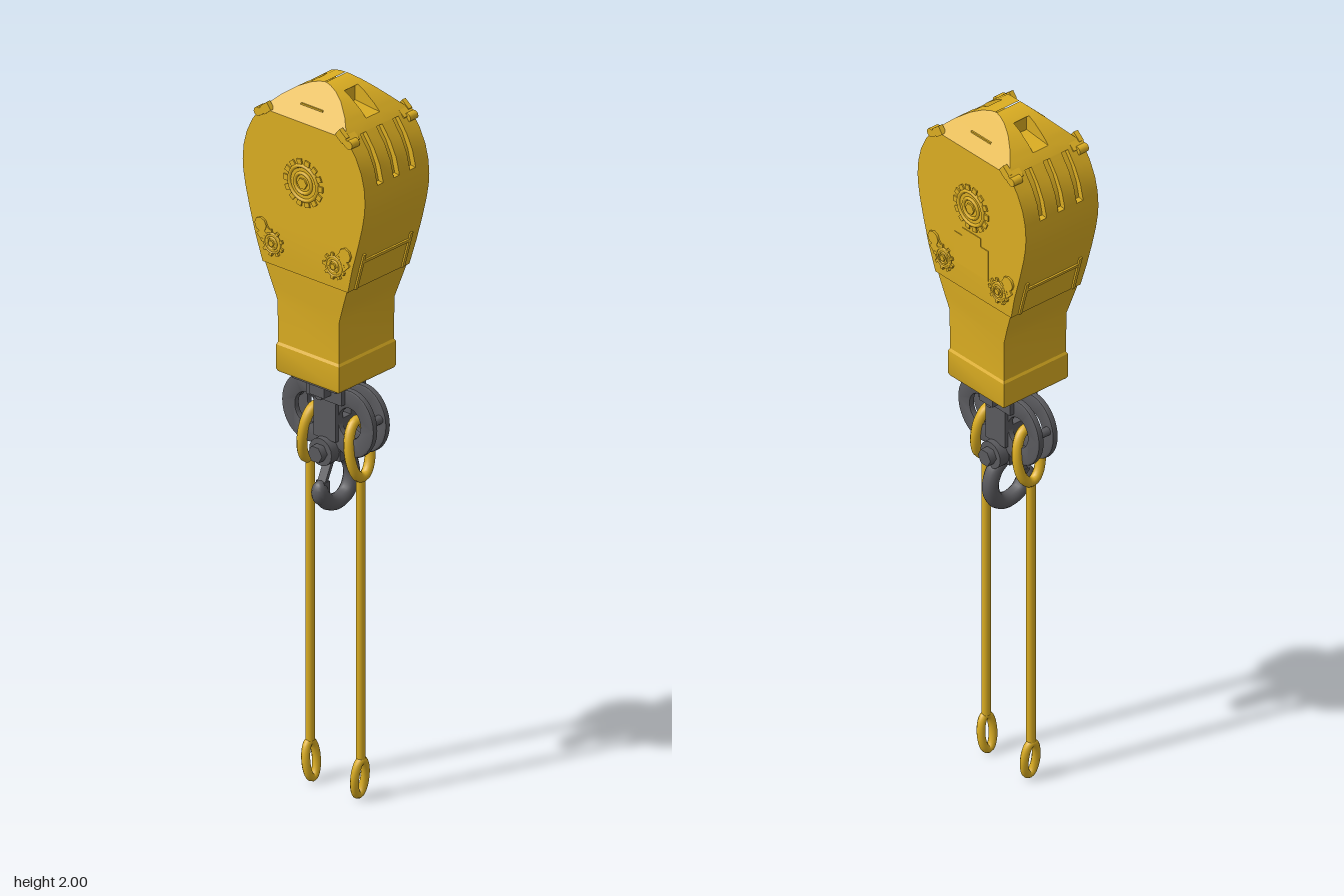
import * as THREE from 'three';
import { toCreasedNormals } from 'three/addons/utils/BufferGeometryUtils.js';

const yellow = new THREE.MeshStandardMaterial({ color: 0xdcae22 });
yellow.name = 'safety yellow';
const grey = new THREE.MeshStandardMaterial({ color: 0x5a5a5e });
grey.name = 'steel grey';

function add(parent, name, geo, mat, x = 0, y = 0, z = 0) {
  const m = new THREE.Mesh(geo, mat);
  m.name = name;
  m.position.set(x, y, z);
  parent.add(m);
  return m;
}
const box = (w, h, d) => new THREE.BoxGeometry(w, h, d);
// cylinder lying along x
const cylX = (r, len, n = 20, r2 = r) => new THREE.CylinderGeometry(r2, r, len, n).rotateZ(-Math.PI / 2);

// [y, half width x, half depth z] up the housing
const profile = [[1.48, 0.118, 0.145], [1.55, 0.123, 0.164], [1.62, 0.123, 0.184], [1.68, 0.123, 0.199],
  [1.72, 0.123, 0.206], [1.75, 0.123, 0.208], [1.79, 0.123, 0.205], [1.83, 0.123, 0.195], [1.87, 0.123, 0.176],
  [1.912, 0.123, 0.146], [1.95, 0.087, 0.107], [1.975, 0.064, 0.073], [1.99, 0.05, 0.043], [1.997, 0.043, 0.02], [2.0, 0.04, 0.002]];

function sizeAt(y) {
  let i = 0;
  while (i < profile.length - 2 && profile[i + 1][0] < y) i++;
  const a = profile[i], b = profile[i + 1], t = (y - a[0]) / (b[0] - a[0]);
  return [y, a[1] + (b[1] - a[1]) * t, a[2] + (b[2] - a[2]) * t];
}

// Rectangular sections stacked in y; slots(y, z) gives [x centre, half width, depth] of recesses front and back
function loft(rows, slots = () => []) {
  const rings = rows.map(([y, hx, hz]) => {
    const half = [[hx, hz]];
    for (const [cx, w, d] of slots(y, hz)) {
      half.push([cx + w, hz], [cx + w, hz - d], [cx - w, hz - d], [cx - w, hz]);
    }
    half.push([-hx, hz]);
    return [...half, ...half.map(([x, z]) => [-x, -z])].map(([x, z]) => [x, y, z]);
  });
  const pos = [];
  for (let i = 0; i < rings.length - 1; i++) {
    const n = rings[i].length;
    for (let j = 0; j < n; j++) {
      const k = (j + 1) % n;
      const a = rings[i][j], b = rings[i][k], c = rings[i + 1][k], d = rings[i + 1][j];
      pos.push(...a, ...c, ...b, ...a, ...d, ...c);
    }
  }
  const g = new THREE.BufferGeometry();
  g.setAttribute('position', new THREE.Float32BufferAttribute(pos, 3));
  return toCreasedNormals(g, 0.5);
}

// Round fitting with a toothed rim, facing +x
function toothedHub(name, r, teeth) {
  const g = new THREE.Group();
  g.name = name;
  add(g, 'hubDisc', cylX(r * 0.72, 0.006, 28), yellow);
  add(g, 'hubRim', new THREE.TorusGeometry(r * 0.72, r * 0.09, 6, 28).rotateY(Math.PI / 2), yellow, 0.002);
  add(g, 'hubRing', new THREE.TorusGeometry(r * 0.42, r * 0.08, 6, 24).rotateY(Math.PI / 2), yellow, 0.003);
  add(g, 'hubBolt', cylX(r * 0.24, 0.012, 6), yellow, 0.002);
  for (let i = 0; i < teeth; i++) {
    const a = (i / teeth) * Math.PI * 2;
    add(g, 'hubTooth', box(0.008, r * 0.24, r * 0.24), yellow, 0, Math.sin(a) * r * 0.88, Math.cos(a) * r * 0.88).rotation.x = -a;
  }
  return g;
}

function buildHousing(root) {
  const ys = profile.map(p => p[0]).concat([1.784, 1.786, 1.908, 1.91, 1.932, 1.94, 1.982, 1.986]).sort((a, b) => a - b);
  const rows = ys.map(sizeAt);
  const slots = (y, z) => {
    const d = y > 1.785 && y < 1.909 ? 0.016 : 0;
    const roof = y > 1.92;
    const pocket = y > 1.935 && y < 1.985 ? Math.max(0, z - 0.042) : 0;
    return roof ? [[0.026, 0, 0], [0, 0.026, pocket], [-0.026, 0, 0]]
      : [[0.062, 0.011, d], [0, 0.011, d], [-0.062, 0.011, d]];
  };
  add(root, 'housing', loft([[1.48, 0, 0], ...rows], slots), yellow);

  // neck and bottom collar
  add(root, 'neck', loft([[1.25, 0.105, 0.103], [1.38, 0.106, 0.105], [1.43, 0.111, 0.122], [1.484, 0.115, 0.141], [1.484, 0, 0]]), yellow);
  add(root, 'collar', loft([[1.18, 0, 0], [1.18, 0.106, 0.103], [1.187, 0.109, 0.107], [1.255, 0.109, 0.107], [1.262, 0.105, 0.103], [1.262, 0, 0]]), yellow);

  for (const s of [1, -1]) {
    // frame across the lower front and back
    const f = new THREE.Group();
    f.name = s > 0 ? 'frontFrame' : 'backFrame';
    f.rotation.y = s > 0 ? 0 : Math.PI;
    root.add(f);
    add(f, 'frameBar', box(0.18, 0.009, 0.008), yellow, 0, 1.565, 0.169).rotation.x = 0.27;
    for (const x of [-0.09, 0.09]) {
      add(f, 'framePost', box(0.009, 0.11, 0.008), yellow, x, 1.535, 0.161).rotation.x = 0.27;
    }
    // side fittings
    const side = new THREE.Group();
    side.name = s > 0 ? 'leftFittings' : 'rightFittings';
    side.rotation.y = s > 0 ? 0 : Math.PI;
    root.add(side);
    const hub = toothedHub('axleHub', 0.066, 14);
    hub.position.set(0.123, 1.745, 0);
    side.add(hub);
    add(side, 'topLip', box(0.006, 0.006, 0.075), yellow, 0.09, 1.945, 0);
    for (const t of [1, -1]) {
      const b = toothedHub('lowerBolt', 0.037, 9);
      b.position.set(0.124, 1.545, t * 0.105);
      side.add(b);
      add(side, 'lowerLug', cylX(0.02, 0.014, 8), yellow, 0.122, 1.587, t * 0.143);
      add(side, 'lugPlate', box(0.012, 0.045, 0.028), yellow, 0.121, 1.565, t * 0.132).rotation.x = -t * 0.8;
      // corner clamps on the shoulders
      const c = new THREE.Group();
      c.name = 'cornerClamp';
      c.position.set(0.106, 1.905, t * 0.142);
      c.rotation.x = t * 0.68;
      side.add(c);
      add(c, 'clampPlate', box(0.042, 0.018, 0.024), yellow);
      add(c, 'clampPin', cylX(0.012, 0.03, 12), yellow, 0.006, 0.004, t * 0.014);
      add(c, 'clampTab', box(0.014, 0.024, 0.03), yellow, 0.014, 0, -t * 0.018);
    }
  }
  // service panel on the left flank
  add(root, 'servicePanel', box(0.004, 0.09, 0.13), yellow, 0.123, 1.6, 0);
  add(root, 'servicePanelTop', box(0.004, 0.03, 0.07), yellow, 0.123, 1.655, 0);
}

function buildHookBlock(root) {
  const g = new THREE.Group();
  g.name = 'hookBlock';
  root.add(g);
  add(g, 'mountPlate', box(0.17, 0.018, 0.15), grey, 0, 1.172, 0);
  for (const s of [1, -1]) {
    add(g, 'cheek', box(0.028, 0.17, 0.075), grey, s * 0.03, 1.085, 0);
    add(g, 'cheekFlange', box(0.022, 0.05, 0.12), grey, s * 0.036, 1.135, 0);
    add(g, 'mountBolt', cylX(0.014, 0.02, 6), grey, s * 0.058, 1.13, 0);
    add(g, 'mountLug', box(0.03, 0.04, 0.05), grey, s * 0.06, 1.15, 0);
    add(g, 'pinHead', cylX(0.038, 0.03, 18), grey, s * 0.045, 0.968, 0);
    add(g, 'pinNut', cylX(0.024, 0.026, 6), grey, s * 0.068, 0.968, 0);
  }
  add(g, 'swivelBody', box(0.055, 0.12, 0.075), grey, 0, 1.0, 0);
  // crescent eye plates carrying the links
  const eye = new THREE.Shape().absarc(0, 0, 0.085, 0, Math.PI * 2);
  eye.holes.push(new THREE.Path().absarc(0, 0, 0.038, 0, Math.PI * 2, true));
  const eyeGeo = toCreasedNormals(new THREE.ExtrudeGeometry(eye, {
    depth: 0.008, bevelEnabled: true, bevelSize: 0.005, bevelThickness: 0.005, bevelOffset: -0.005, bevelSegments: 2, curveSegments: 24,
  }).translate(0, 0, -0.004).rotateY(Math.PI / 2), 0.7);
  for (const z of [-0.074, 0.074]) {
    for (const x of [-0.024, 0.024]) add(g, 'eyePlate', eyeGeo, grey, x, 1.06, z).scale.set(1, 1.1, 0.97);
    add(g, 'eyeSpacer', cylX(0.012, 0.06, 12), grey, 0, 1.075, Math.sign(z) * 0.135);
  }
  // load hook
  const pts = [[0, 1.0], [0.012, 0.95], [0.046, 0.918], [0.06, 0.87], [0.042, 0.826], [0.005, 0.81], [-0.036, 0.822], [-0.06, 0.852]]
    .map(([x, y]) => new THREE.Vector3(x, y, 0));
  add(g, 'hook', new THREE.TubeGeometry(new THREE.CatmullRomCurve3(pts), 40, 0.022, 12), grey);
  add(g, 'hookTip', new THREE.SphereGeometry(0.022, 14, 10), grey, -0.062, 0.855, 0).scale.set(1, 1.5, 1);
  add(g, 'hookLatch', box(0.01, 0.11, 0.026), grey, -0.036, 0.915, 0).rotation.z = -0.45;
  add(g, 'latchLug', box(0.02, 0.04, 0.03), grey, -0.05, 0.865, 0);
}

// Oval ring in the xy plane
class Oval extends THREE.Curve {
  constructor(a, b) { super(); this.a = a; this.b = b; }
  getPoint(t, v = new THREE.Vector3()) {
    return v.set(Math.cos(t * Math.PI * 2) * this.a, Math.sin(t * Math.PI * 2) * this.b, 0);
  }
}

function buildSlings(root) {
  for (const s of [1, -1]) {
    const g = new THREE.Group();
    g.name = s > 0 ? 'frontSling' : 'backSling';
    root.add(g);
    add(g, 'topLink', new THREE.TubeGeometry(new Oval(0.039, 0.077), 40, 0.014, 10, true), yellow, 0, 0.982, s * 0.08).rotation.x = -s * 0.13;
    add(g, 'rod', new THREE.CylinderGeometry(0.0125, 0.0125, 0.79, 14), yellow, -0.002, 0.51, s * 0.086);
    add(g, 'bottomEye', new THREE.TubeGeometry(new Oval(0.02, 0.05), 32, 0.0115, 10, true), yellow, -0.002, 0.0615, s * 0.083).rotation.x = s * 0.1;
  }
}

export function createModel() {
  const root = new THREE.Group();
  root.name = 'craneHookBlock';
  buildHousing(root);
  buildHookBlock(root);
  buildSlings(root);
  return root;
}
